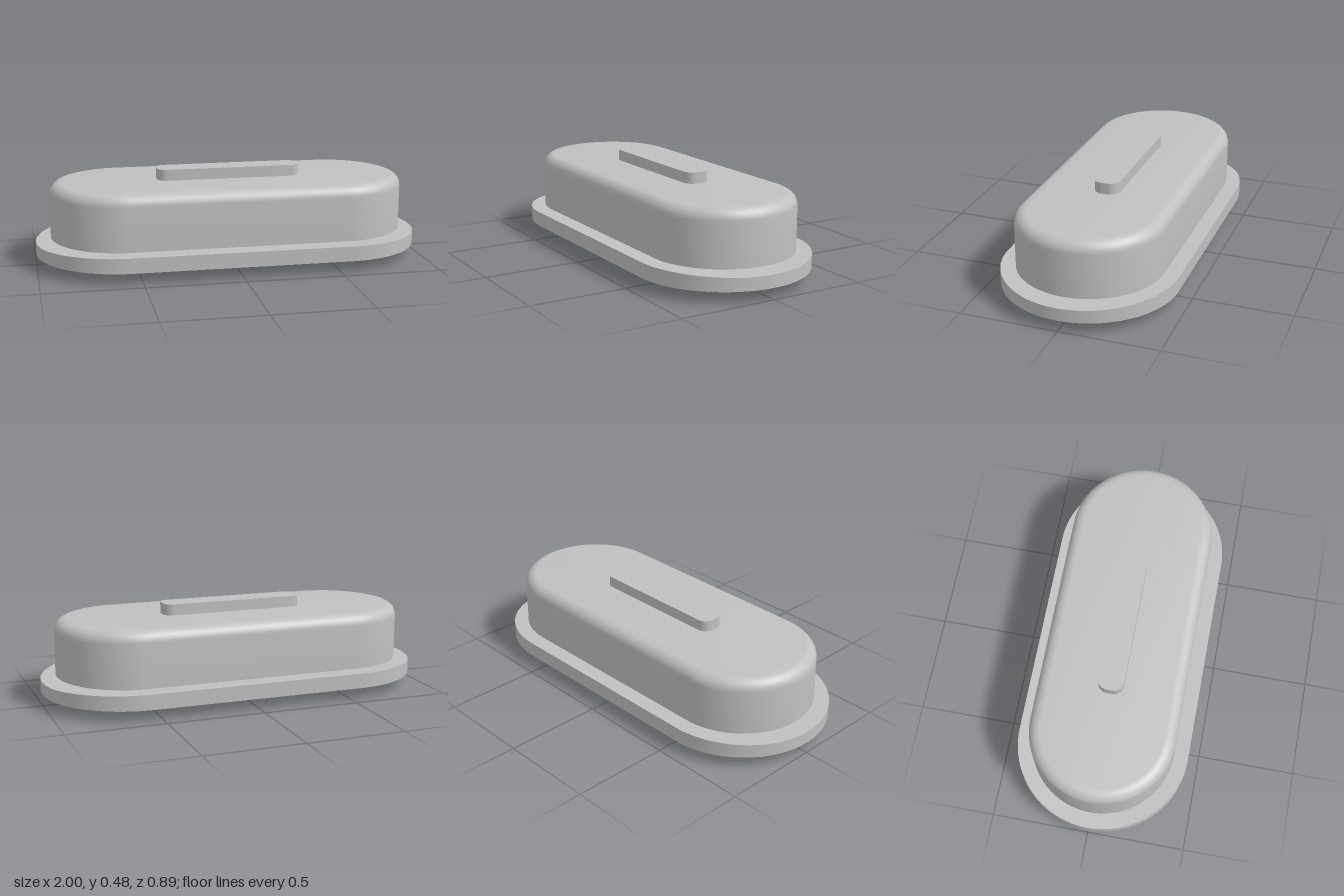
import * as THREE from 'three';
import { toCreasedNormals } from 'three/addons/utils/BufferGeometryUtils.js';

const ARC = 24;

// Rounded outline in plan: right half front to back, then the left half mirrored.
function outline(halfX, halfZ, r) {
  const right = [];
  for (const side of [1, -1]) {
    for (let i = 0; i <= ARC; i++) {
      if (side < 0 && i === 0 && halfZ - r < 1e-6) continue;
      const a = (side > 0 ? Math.PI / 2 : 0) - (i / ARC) * Math.PI / 2;
      right.push([halfX - r + r * Math.cos(a), side * (halfZ - r) + r * Math.sin(a)]);
    }
  }
  return [...right, ...right.slice().reverse().map(([x, z]) => [-x, z])];
}

// Closed solid through stacked outlines; inset shrinks an outline, y is a number or a rule of z.
function loft(halfX, halfZ, r, sections) {
  const pos = [];
  const idx = [];
  let n = 0;
  for (const { inset = 0, y } of sections) {
    const ring = outline(halfX - inset, halfZ - inset, r - inset);
    n = ring.length;
    for (const [x, z] of ring) pos.push(x, typeof y === 'function' ? y(z) : y, z);
  }
  for (let j = 0; j < sections.length - 1; j++) {
    for (let i = 0; i < n; i++) {
      const a = j * n + i, b = j * n + (i + 1) % n;
      idx.push(a, b, b + n, a, b + n, a + n);
    }
  }
  // Caps are strips running from side to side
  const top = (sections.length - 1) * n;
  for (let i = 0; i < n / 2 - 1; i++) {
    const a = i, b = i + 1, c = n - 2 - i, d = n - 1 - i;
    idx.push(a, c, b, a, d, c);
    idx.push(top + a, top + b, top + c, top + a, top + c, top + d);
  }
  const g = new THREE.BufferGeometry();
  g.setAttribute('position', new THREE.Float32BufferAttribute(pos, 3));
  g.setIndex(idx);
  return toCreasedNormals(g, 0.6);
}

export function createModel() {
  const group = new THREE.Group();
  const grey = new THREE.MeshStandardMaterial({ color: 0xc0c0c0 });
  grey.name = 'grey';
  const add = (name, geometry) => {
    const mesh = new THREE.Mesh(geometry, grey);
    mesh.name = name;
    group.add(mesh);
    return mesh;
  };

  // Base plate, its top dipping slightly along the middle
  const dip = (z) => 0.122 + 0.012 * Math.max(0, (Math.abs(z) - 0.15) / 0.295);
  add('basePlate', loft(1, 0.445, 0.445, [{ y: 0.057 }, { y: dip }]));

  // Body with a rounded top edge
  const fillet = 0.06;
  const bodySections = [{ y: 0.141 }];
  for (let i = 0; i <= 8; i++) {
    const a = (i / 8) * Math.PI / 2;
    bodySections.push({ inset: fillet * (1 - Math.cos(a)), y: 0.426 - fillet + fillet * Math.sin(a) });
  }
  add('body', loft(0.923, 0.37, 0.37, bodySections));

  // Raised bar on top
  add('topBar', loft(0.372, 0.065, 0.05, [{ y: 0.42 }, { y: 0.483 }]));

  // Round stud underneath
  const stud = add('bottomStud', new THREE.CylinderGeometry(0.093, 0.093, 0.06, 48));
  stud.position.y = 0.03;

  return group;
}
